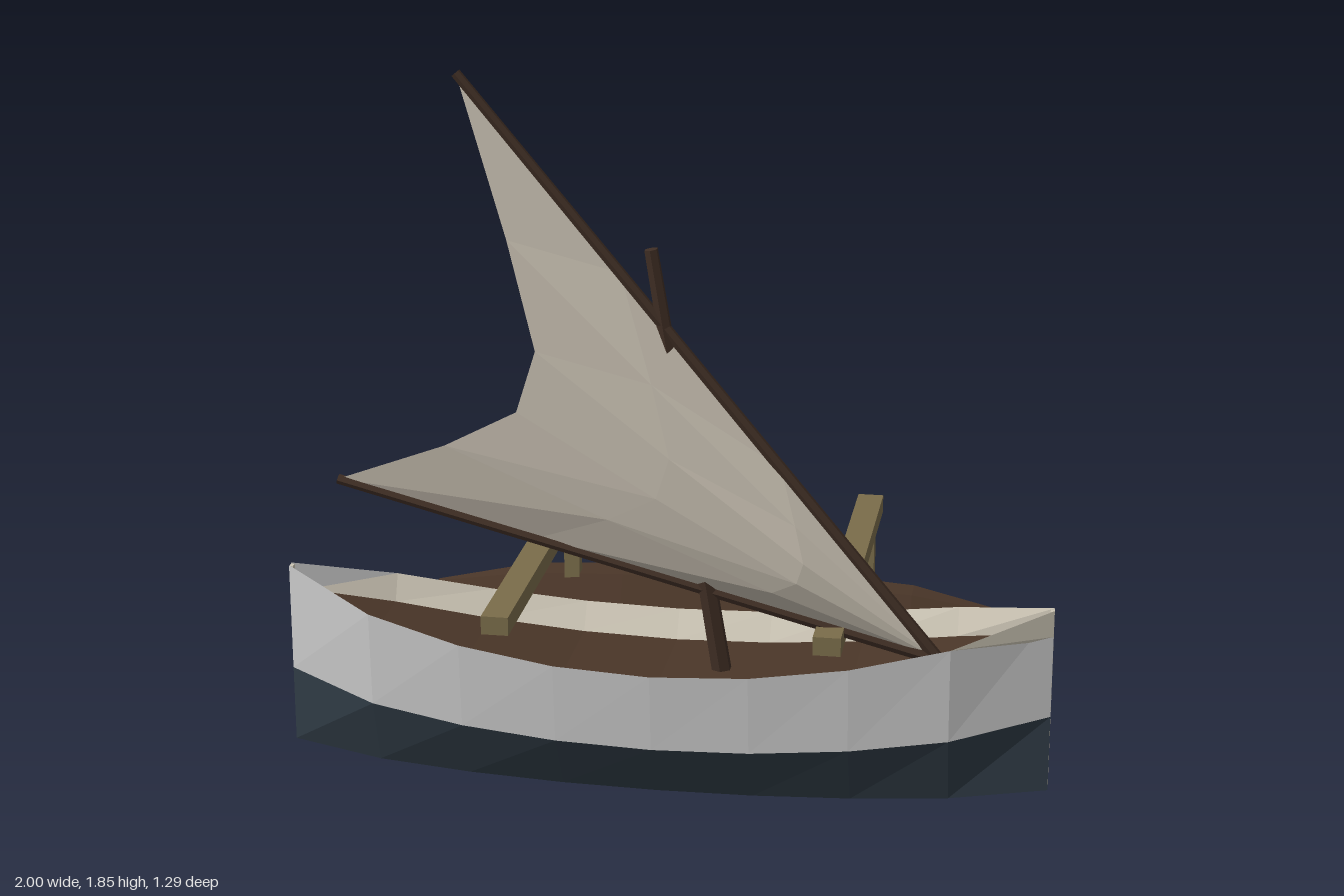
import * as THREE from 'three';

const HULL_Z = 0.405;
const material = (color) => new THREE.MeshStandardMaterial({ color, flatShading: true });
const wood = material(0x4a3628), spar = material(0x3f2e24), beamWood = material(0x7a6c4a);
const cream = material(0xccc5b5), paint = material(0xcccccc), bottomPaint = material(0x303c46);
const canvas = material(0xc4bcae);
for (const m of [cream, paint, bottomPaint, wood, canvas]) m.side = THREE.DoubleSide;

function add(parent, name, geometry, mat) {
  const mesh = new THREE.Mesh(geometry, mat);
  mesh.name = name;
  parent.add(mesh);
  return mesh;
}

// Faceted surface from a rule point(i, j) -> [x, y, z]
function surface(nu, nv, point) {
  const pos = [], index = [];
  for (let i = 0; i <= nu; i++) for (let j = 0; j <= nv; j++) pos.push(...point(i, j));
  for (let i = 0; i < nu; i++) for (let j = 0; j < nv; j++) {
    const a = i * (nv + 1) + j, b = a + nv + 1;
    index.push(a, b, b + 1, a, b + 1, a + 1);
  }
  const indexed = new THREE.BufferGeometry();
  indexed.setAttribute('position', new THREE.Float32BufferAttribute(pos, 3));
  indexed.setIndex(index);
  const g = indexed.toNonIndexed();
  g.computeVertexNormals();
  return g;
}

// Tapered pole between two points
function pole(parent, name, from, to, r0, r1) {
  const a = new THREE.Vector3(...from), b = new THREE.Vector3(...to);
  const dir = b.clone().sub(a);
  const mesh = add(parent, name, new THREE.CylinderGeometry(r1, r0, dir.length(), 6), spar);
  mesh.position.copy(a).add(b).multiplyScalar(0.5);
  mesh.quaternion.setFromUnitVectors(new THREE.Vector3(0, 1, 0), dir.normalize());
}

function box(parent, name, size, at, mat) {
  add(parent, name, new THREE.BoxGeometry(...size), mat).position.set(...at);
}

function buildHull() {
  const hull = new THREE.Group();
  hull.name = 'hull';
  // Cross-section levels: [half width, height amidships, rise towards the ends]
  const level = {
    rim: [0.235, 0.37, 0.155],
    deck: [0.19, 0.30, 0.155],
    chine: [0.212, 0.16, 0.075],
    keel: [0.12, 0.005, 0.025],
  };
  // Each strip runs along x through a list of [level, side]
  const strip = (name, mat, edges) => add(hull, name, surface(8, edges.length - 1, (i, j) => {
    const x = -1 + i / 4;
    const [key, side] = edges[j];
    const [w, y, rise] = level[key];
    const half = Math.max(0.01, w * Math.pow(1 - x * x, 0.55));
    return [x, y + rise * x * x, HULL_Z + side * half];
  }), mat);
  strip('frontTopside', paint, [['chine', 1], ['rim', 1]]);
  strip('backTopside', paint, [['rim', -1], ['chine', -1]]);
  strip('hullBottom', bottomPaint, [['chine', -1], ['keel', -1], ['keel', 1], ['chine', 1]]);
  strip('frontBulwark', cream, [['rim', 1], ['deck', 1]]);
  strip('backBulwark', cream, [['deck', -1], ['rim', -1]]);
  strip('deck', wood, [['deck', 1], ['deck', -1]]);
  for (const s of [-1, 1]) box(hull, 'stem', [0.01, 0.49, 0.018], [s * 0.995, 0.277, HULL_Z], cream);
  return hull;
}

function buildOutrigger() {
  const outrigger = new THREE.Group();
  outrigger.name = 'outrigger';
  // Six-sided float, pointed at both ends
  const profile = [[0, -0.847], [0.017, -0.847], [0.08, -0.565], [0.098, -0.28], [0.1, 0],
    [0.098, 0.28], [0.08, 0.565], [0.017, 0.847], [0, 0.847]].map((p) => new THREE.Vector2(...p));
  const float = add(outrigger, 'float', new THREE.LatheGeometry(profile, 6).rotateZ(-Math.PI / 2), wood);
  float.position.set(0, 0.11, -0.547);
  // Cross beams with the posts that carry the float
  for (const s of [-1, 1]) {
    box(outrigger, 'crossBeam', [0.072, 0.05, 1.096], [s * 0.432, 0.42, -0.058], beamWood);
    box(outrigger, 'floatPost', [0.045, 0.24, 0.042], [s * 0.432, 0.285, -0.518], beamWood);
  }
  return outrigger;
}

function buildRig() {
  const rig = new THREE.Group();
  rig.name = 'rig';
  const tack = [0.71, 0.37], peak = [-0.52, 1.85], clew = [-0.86, 0.77];
  pole(rig, 'mast', [0.15, 0.3, HULL_Z - 0.003], [-0.032, 1.42, HULL_Z - 0.003], 0.027, 0.018);
  pole(rig, 'yard', [...tack, HULL_Z], [...peak, HULL_Z], 0.017, 0.013);
  pole(rig, 'boom', [...tack, HULL_Z], [...clew, HULL_Z], 0.017, 0.013);
  // Claw-shaped sail: rays from the tack, hollow along the free edge, bellied to the front
  add(rig, 'sail', surface(3, 5, (i, j) => {
    const t = i / 3, s = j / 5, arc = Math.sin(Math.PI * s);
    const reach = t * (1 - 0.26 * arc);
    const xy = [0, 1].map((k) => tack[k] + (peak[k] + (clew[k] - peak[k]) * s - tack[k]) * reach);
    const belly = 0.072 * Math.pow(arc, 0.6) * [0, 0.95, 1, 0.85][i];
    return [...xy, HULL_Z + (j % 5 ? belly : 0)];
  }), canvas);
  return rig;
}

export function createModel() {
  const model = new THREE.Group();
  model.name = 'outriggerCanoe';
  model.add(buildHull(), buildOutrigger(), buildRig());
  return model;
}
